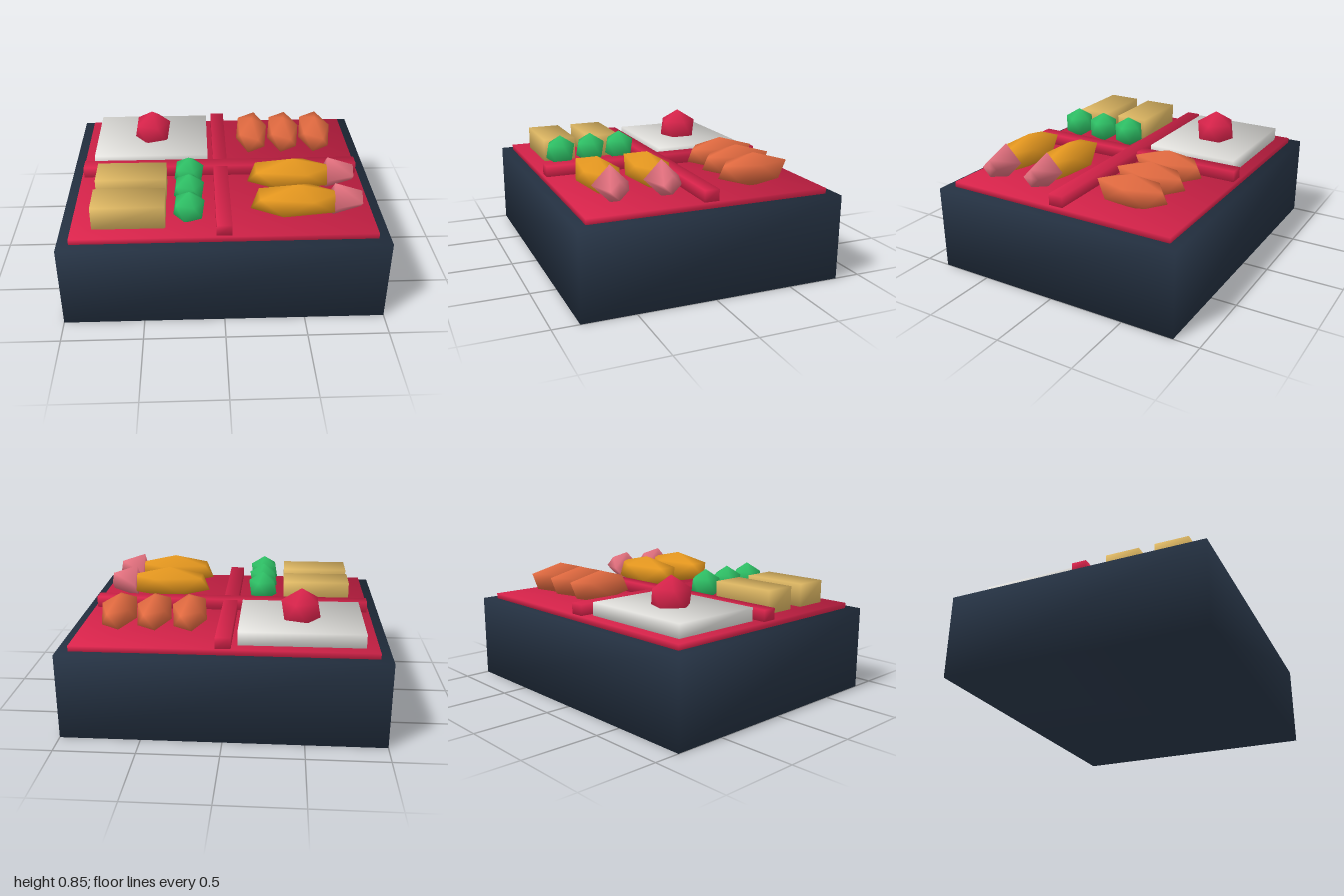
import * as THREE from 'three';
import { mergeVertices } from 'three/addons/utils/BufferGeometryUtils.js';

const material = (name, color) => {
  const m = new THREE.MeshStandardMaterial({ color });
  m.name = name;
  return m;
};

// Shares corners between faces so the shading runs smoothly across edges
function soften(geometry) {
  geometry.deleteAttribute('normal');
  geometry.deleteAttribute('uv');
  geometry.clearGroups();
  const g = mergeVertices(geometry, 1e-4);
  g.computeVertexNormals();
  return g;
}

// Box whose corner normals point diagonally outwards
function softBox(w, h, d) {
  const g = soften(new THREE.BoxGeometry(w, h, d));
  const p = g.attributes.position, n = g.attributes.normal, k = 1 / Math.sqrt(3);
  for (let i = 0; i < p.count; i++) {
    n.setXYZ(i, Math.sign(p.getX(i)) * k, Math.sign(p.getY(i)) * k, Math.sign(p.getZ(i)) * k);
  }
  return g;
}

// Icosahedron standing on a corner, stretched along each axis
function lump(sx, sy, sz) {
  const g = new THREE.IcosahedronGeometry(1, 0);
  g.rotateZ(-Math.atan(2 / (1 + Math.sqrt(5))));
  g.scale(sx, sy, sz);
  return soften(g);
}

export function createModel() {
  const group = new THREE.Group();
  group.name = 'lunchBox';

  const navy = material('navy lacquer', 0x253243);
  const red = material('red lacquer', 0xdc244c);
  const white = material('rice white', 0xf1f0ec);
  const yellow = material('egg yellow', 0xe0b964);
  const green = material('pea green', 0x2fc367);
  const brown = material('fried orange', 0xe16a40);
  const gold = material('batter gold', 0xe6981f);
  const pink = material('tail pink', 0xe4717f);

  const add = (name, geometry, mat, x, y, z) => {
    const mesh = new THREE.Mesh(geometry, mat);
    mesh.name = name;
    mesh.position.set(x, y, z);
    group.add(mesh);
  };
  // Box given by its extents
  const block = (name, mat, x0, x1, y0, y1, z0, z1) =>
    add(name, softBox(x1 - x0, y1 - y0, z1 - z0), mat, (x0 + x1) / 2, (y0 + y1) / 2, (z0 + z1) / 2);

  // Container, inner tray and crossing dividers
  block('container', navy, -1, 1, 0, 0.545, -0.835, 0.835);
  block('tray', red, -0.928, 0.928, 0.54, 0.58, -0.768, 0.768);
  block('crossDivider', red, -0.912, 0.912, 0.575, 0.652, -0.047, 0.047);
  block('lengthDivider', red, -0.047, 0.047, 0.575, 0.65, -0.753, 0.753);

  // Rice bed with a pickled plum
  block('rice', white, -0.85, -0.083, 0.575, 0.665, -0.69, -0.083);
  add('plum', lump(0.14, 0.14, 0.14), red, -0.465, 0.71, -0.388);

  // Rolled omelette pieces
  for (const z of [0.235, 0.555]) block('omelette', yellow, -0.8, -0.355, 0.575, 0.73, z - 0.11, z + 0.11);

  // Peas in a row
  for (const z of [0.17, 0.38, 0.59]) add('pea', lump(0.107, 0.107, 0.107), green, -0.21, 0.68, z);

  // Fried chicken pieces
  for (const x of [0.235, 0.46, 0.685]) add('chicken', lump(0.12, 0.108, 0.256), brown, x, 0.678, -0.387);

  // Battered prawns with tails
  for (const z of [0.222, 0.542]) {
    add('prawn', lump(0.315, 0.112, 0.13), gold, 0.45, 0.683, z);
    const tail = new THREE.CylinderGeometry(0.056, 0.113, 0.17, 4);
    tail.rotateZ(-Math.PI / 2);
    add('prawnTail', soften(tail), pink, 0.765, 0.688, z);
  }
  return group;
}
